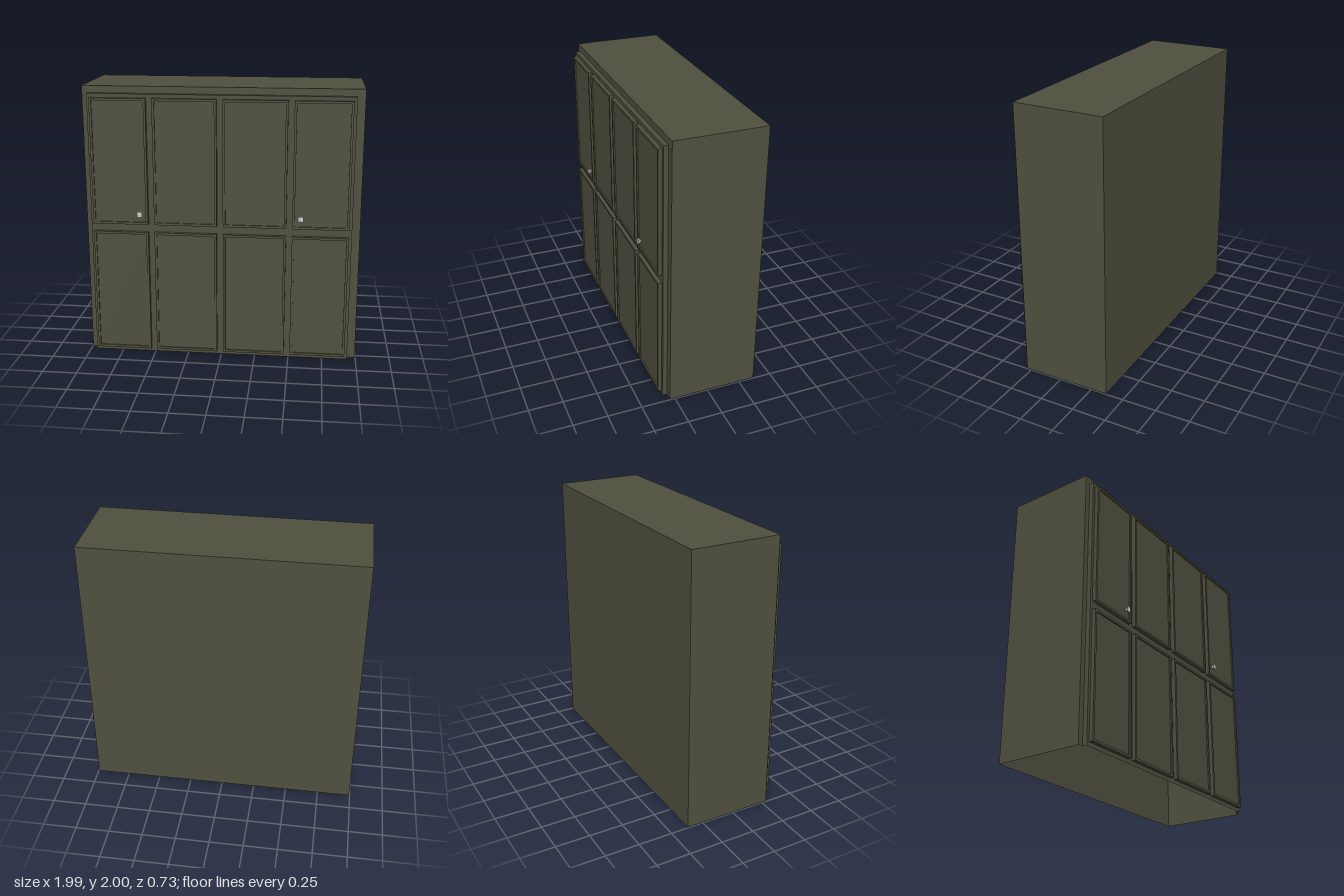
import * as THREE from 'three';

const green = new THREE.MeshStandardMaterial({ color: 0x505040, side: THREE.DoubleSide });
const grey = new THREE.MeshStandardMaterial({ color: 0xcccccc, flatShading: true });

function add(parent, name, geometry, material, x = 0, y = 0, z = 0) {
  const mesh = new THREE.Mesh(geometry, material);
  mesh.name = name;
  mesh.position.set(x, y, z);
  parent.add(mesh);
  return mesh;
}

// Box given by its limits, leaving out some sides (0 +x, 1 -x, 2 top, 3 bottom, 4 front, 5 back)
function openBox(x0, x1, y0, y1, z0, z1, omit) {
  const g = new THREE.BoxGeometry(x1 - x0, y1 - y0, z1 - z0);
  const index = Array.from(g.index.array).filter((v, i) => !omit.includes(Math.floor(i / 6)));
  g.setIndex(index);
  g.clearGroups();
  g.translate((x0 + x1) / 2, (y0 + y1) / 2, (z0 + z1) / 2);
  return g;
}

function rectPoints(x0, x1, y0, y1) {
  return [[x0, y0], [x1, y0], [x1, y1], [x0, y1]].map(([x, y]) => new THREE.Vector2(x, y));
}

// Door: a thin raised rim around a slightly recessed panel
function makeDoor(x0, x1, y0, y1, zBack, zFront) {
  const door = new THREE.Group();
  const rim = 0.017, recess = 0.01;
  const shape = new THREE.Shape(rectPoints(x0, x1, y0, y1));
  shape.holes.push(new THREE.Path(rectPoints(x0 + rim, x1 - rim, y0 + rim, y1 - rim).reverse()));
  const frame = new THREE.ExtrudeGeometry(shape, { depth: zFront - zBack, bevelEnabled: false });
  add(door, 'doorRim', frame, green, 0, 0, zBack);
  add(door, 'doorPanel', openBox(x0 + rim, x1 - rim, y0 + rim, y1 - rim,
    zBack, zFront - recess, [5]), green);
  return door;
}

export function createModel() {
  const cabinet = new THREE.Group();
  cabinet.name = 'cabinet';
  const W = 0.995, zBack = -0.367, zBody = 0.287, zPanel = 0.32, zDoor = 0.348, zKnob = 0.367;
  const px0 = -0.955, px1 = 0.937, pTop = 1.95;

  // Hollow body, open underneath
  add(cabinet, 'body', openBox(-W, W, 0, 2, zBack, zBody, [3, 4]), green);

  // Border around the front opening
  const border = new THREE.Shape([[-W, 0], [px0, 0], [px0, pTop], [px1, pTop], [px1, 0],
    [W, 0], [W, 2], [-W, 2]].map(([x, y]) => new THREE.Vector2(x, y)));
  add(cabinet, 'frontBorder', new THREE.ShapeGeometry(border), green, 0, 0, zBody);

  // Front panel stepping forward from the border
  add(cabinet, 'frontPanel', openBox(px0, px1, 0, pTop, zBody, zPanel, [3, 5]), green);

  // Two rows of four doors
  const columns = [[-0.934, -0.53], [-0.486, -0.031], [0.014, 0.468], [0.511, 0.916]];
  const rows = [['lowerDoor', 0.03, 0.947], ['upperDoor', 1.005, 1.922]];
  for (const [name, y0, y1] of rows) {
    columns.forEach(([x0, x1], i) => {
      const door = makeDoor(x0, x1, y0, y1, zPanel, zDoor);
      door.name = name + (i + 1);
      cabinet.add(door);
    });
  }

  // Square knobs flaring outwards
  const base = zDoor - 0.01;
  for (const x of [-0.588, 0.57]) {
    const g = new THREE.CylinderGeometry(0.028, 0.006, zKnob - base, 4);
    g.rotateY(Math.PI / 4).rotateX(Math.PI / 2);
    add(cabinet, 'knob', g, grey, x, 1.085, (base + zKnob) / 2);
  }
  return cabinet;
}
